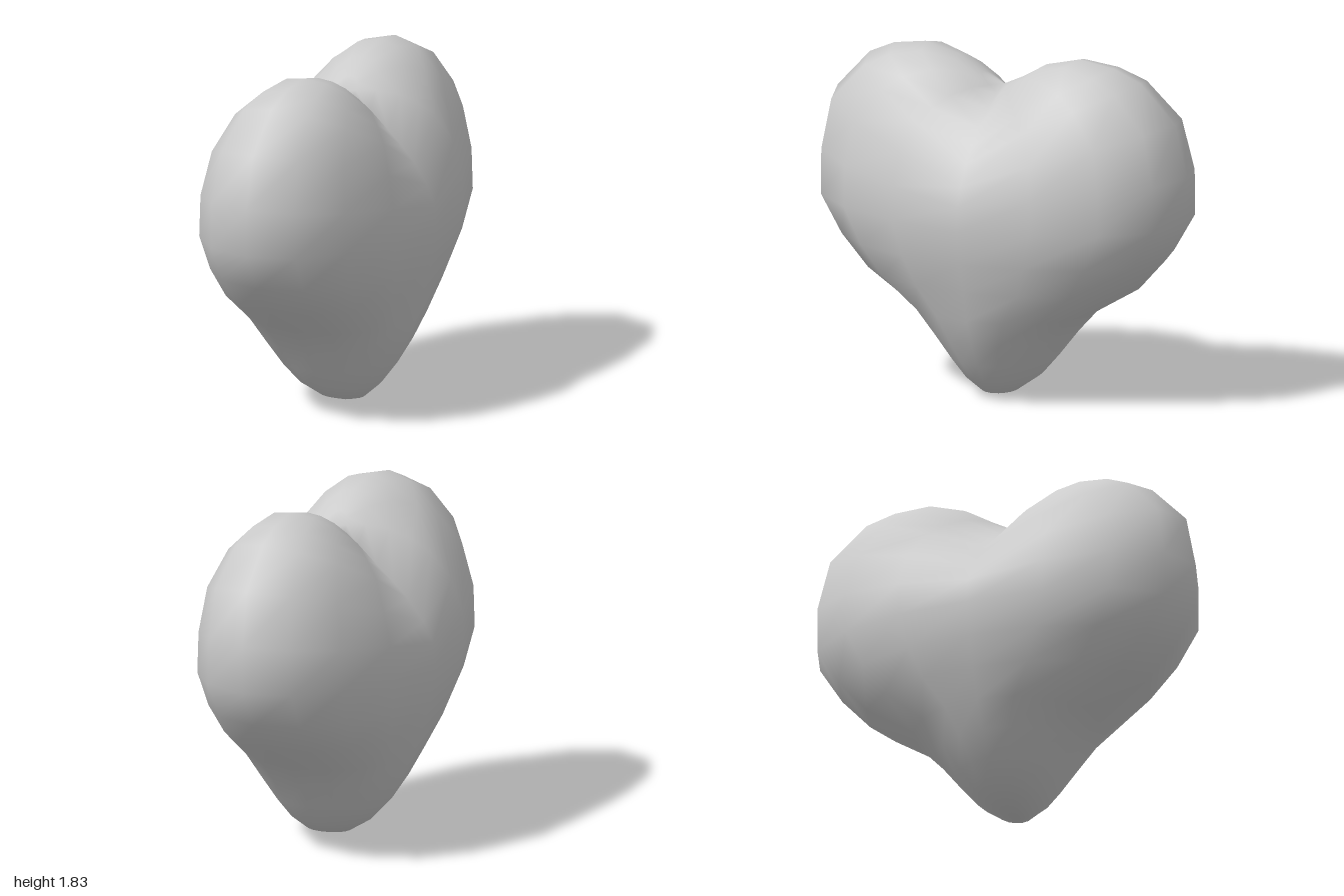
import * as THREE from 'three';

const SIDES = 16;
const TURN = 0.314; // the heart is turned about the vertical axis

// Rings from the notch down to the tip:
// half width, height on the lobes, half thickness, height at the middle, sideways shift
const RINGS = [
  [0, 1.645, 0, 1.645, 0.03],
  [0.12, 1.70, 0.07, 1.61, 0.035],
  [0.26, 1.78, 0.16, 1.55, 0.04],
  [0.45, 1.825, 0.27, 1.47, 0.04],
  [0.64, 1.795, 0.36, 1.39, 0.03],
  [0.79, 1.73, 0.44, 1.31, 0.02],
  [0.985, 1.53, 0.52, 1.2, 0.01],
  [1.045, 1.25, 0.57, 1.1, 0],
  [1.045, 1.0, 0.58, 0.97, 0],
  [0.92, 0.8, 0.555, 0.79, 0],
  [0.765, 0.63, 0.505, 0.63, 0],
  [0.5, 0.47, 0.455, 0.47, 0.01],
  [0.37, 0.33, 0.39, 0.33, 0.015],
  [0.27, 0.2, 0.31, 0.2, 0.02],
  [0.19, 0.1, 0.225, 0.1, 0.03],
  [0.09, 0.025, 0.12, 0.025, 0.05],
  [0, 0, 0, 0, 0.07],
];

function heartGeometry() {
  const positions = [];
  const indices = [];
  const last = RINGS.length - 1;

  RINGS.forEach(([width, lobeY, depth, middleY, shift], row) => {
    const count = row === 0 || row === last ? 1 : SIDES;
    for (let j = 0; j < count; j++) {
      const a = (j / SIDES) * Math.PI * 2;
      const c = Math.cos(a);
      const s = Math.sin(a);
      const u = width * c;
      const v = depth * Math.sign(s) * Math.abs(s) ** 0.9;
      const y = middleY + (lobeY - middleY) * Math.abs(c) ** 0.9;
      positions.push(
        u * Math.sin(TURN) + v * Math.cos(TURN) + shift,
        y,
        u * Math.cos(TURN) - v * Math.sin(TURN),
      );
    }
  });

  // The first and last rings are single shared points
  const vertex = (row, j) => {
    if (row === 0) return 0;
    if (row === last) return 1 + (last - 1) * SIDES;
    return 1 + (row - 1) * SIDES + (j % SIDES);
  };
  for (let row = 0; row < last; row++) {
    for (let j = 0; j < SIDES; j++) {
      const a = vertex(row, j);
      const b = vertex(row, j + 1);
      const c = vertex(row + 1, j);
      const d = vertex(row + 1, j + 1);
      if (a !== b) indices.push(a, c, b);
      if (c !== d) indices.push(b, c, d);
    }
  }

  const geometry = new THREE.BufferGeometry();
  geometry.setAttribute('position', new THREE.Float32BufferAttribute(positions, 3));
  geometry.setIndex(indices);
  geometry.computeVertexNormals();
  return geometry;
}

export function createModel() {
  const group = new THREE.Group();
  group.name = 'puffyHeart';

  // Soft, rounded heart body
  const heart = new THREE.Mesh(
    heartGeometry(),
    new THREE.MeshStandardMaterial({ color: 0xcccccc }),
  );
  heart.name = 'heart';
  group.add(heart);
  return group;
}
